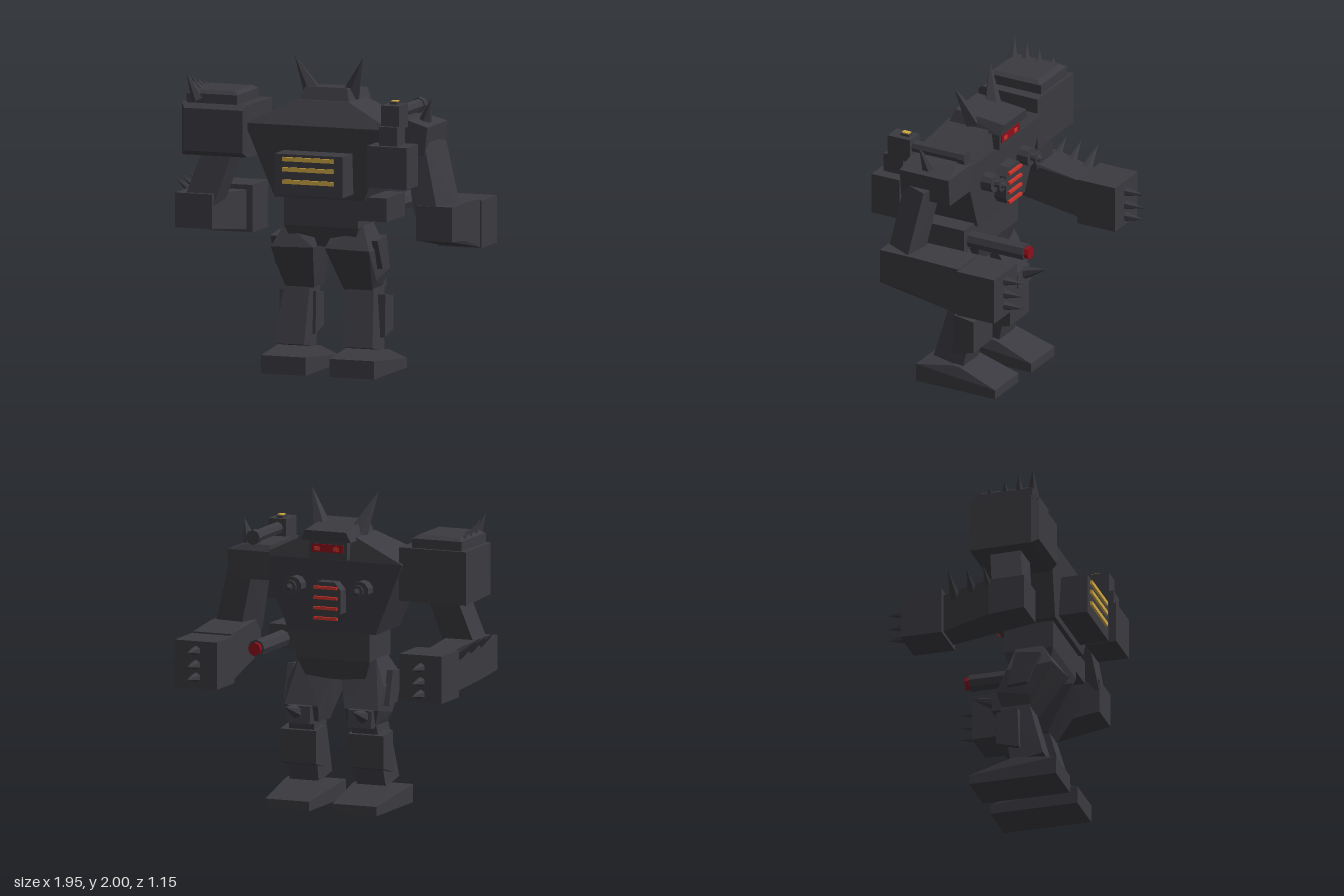
import * as THREE from 'three';
import { ConvexGeometry } from 'three/addons/geometries/ConvexGeometry.js';

const material = (name, color) => Object.assign(new THREE.MeshStandardMaterial({ color }), { name });

export function createModel() {
  const root = new THREE.Group();
  root.name = 'armouredRobot';
  const iron = material('dark iron', 0x3b3a40);
  const gold = material('gold', 0xcfa743);
  const red = material('dark red', 0x8c0f1c);
  const glow = material('bright red', 0xd0342a);
  const V = (x, y, z) => new THREE.Vector3(x, y, z);

  const add = (name, geo, mat = iron, parent = root) => {
    const m = new THREE.Mesh(geo, mat);
    m.name = name;
    parent.add(m);
    return m;
  };
  // Box given by its limits
  const box = (name, x0, x1, y0, y1, z0, z1, mat, parent) => {
    const g = new THREE.BoxGeometry(x1 - x0, y1 - y0, z1 - z0);
    g.translate((x0 + x1) / 2, (y0 + y1) / 2, (z0 + z1) / 2);
    return add(name, g, mat, parent);
  };
  // Faceted solid around a set of corners
  const hull = (name, pts, parent) => add(name, new ConvexGeometry(pts.map(p => V(...p))), iron, parent);
  // Solid through level rectangles [y, x0, x1, z0, z1]
  const levels = (name, rows, parent) => hull(name, rows.flatMap(([y, x0, x1, z0, z1]) =>
    [[x0, y, z0], [x1, y, z0], [x0, y, z1], [x1, y, z1]]), parent);
  // Solid through upright rectangles [z, x0, x1, y0, y1]
  const sections = (name, rows, parent) => hull(name, rows.flatMap(([z, x0, x1, y0, y1]) =>
    [[x0, y0, z], [x1, y0, z], [x0, y1, z], [x1, y1, z]]), parent);
  // Tapered rod between two points; r1 = 0 makes a spike
  const rod = (name, a, b, r0, r1, sides = 6, mat = iron, parent = root) => {
    const from = V(...a), dir = V(...b).sub(from), len = dir.length();
    const g = new THREE.CylinderGeometry(r1, r0, len, sides).toNonIndexed();
    g.computeVertexNormals();
    g.translate(0, len / 2, 0);
    const m = add(name, g, mat, parent);
    m.position.copy(from);
    m.quaternion.setFromUnitVectors(V(0, 1, 0), dir.normalize());
    return m;
  };

  // Torso and waist
  levels('torso', [[1.12, -0.22, 0.38, 0, 0.37], [1.58, -0.41, 0.57, -0.02, 0.4], [1.73, -0.09, 0.25, 0, 0.3]]);
  levels('waist', [[0.81, -0.12, 0.28, 0.06, 0.3], [0.94, -0.17, 0.33, 0.02, 0.34], [1.13, -0.17, 0.33, 0.02, 0.34]]);

  // Head, visor and horns
  box('face', -0.05, 0.21, 1.59, 1.74, -0.06, 0.2);
  hull('headTop', [-0.09, 0.25].flatMap(x => [[x, 1.71, -0.09], [x, 1.71, 0.29]])
    .concat([-0.06, 0.22].flatMap(x => [[x, 1.775, -0.1], [x, 1.81, 0.25]])));
  box('visor', -0.03, 0.19, 1.635, 1.685, -0.068, -0.06, red);
  for (const x of [0.0, 0.13]) box('eye', x, x + 0.04, 1.645, 1.67, -0.073, -0.067, glow);
  for (const s of [-1, 1]) rod('horn', [0.08 + s * 0.12, 1.74, 0.13], [0.08 + s * 0.23, 2, 0.21], 0.065, 0, 5);

  // Chest grille
  const plate = [[-0.02, 1.25], [0.02, 1.2], [0.14, 1.2], [0.18, 1.25], [0.18, 1.4], [0.14, 1.45], [0.02, 1.45], [-0.02, 1.4]];
  hull('grillePlate', plate.flatMap(([x, y]) => [[x, y, -0.09], [x, y, 0.02]]));
  for (const y of [1.22, 1.285, 1.35, 1.415]) {
    box('grilleSlat', 0, 0.16, y - 0.009, y + 0.009, -0.108, -0.088, glow);
  }
  // Chest studs
  for (const x of [-0.15, 0.31]) {
    rod('studBase', [x, 1.41, 0.02], [x, 1.41, -0.09], 0.06, 0.06, 10);
    rod('studStem', [x, 1.41, -0.08], [x, 1.41, -0.14], 0.025, 0.025, 8);
    rod('studDisc', [x, 1.41, -0.125], [x, 1.41, -0.14], 0.045, 0.045, 10);
    rod('studTip', [x, 1.41, -0.14], [x, 1.41, -0.165], 0.025, 0, 8);
  }

  // Back box with gold vents
  box('backBox', -0.15, 0.31, 1.16, 1.42, 0.36, 0.56);
  for (const y of [1.247, 1.325, 1.39]) box('vent', -0.09, 0.25, y - 0.013, y + 0.013, 0.555, 0.575, gold);

  // Shoulder gun
  box('gunBox', 0.47, 0.74, 1.235, 1.5, 0.36, 0.56);
  box('gunPost', 0.54, 0.66, 1.5, 1.62, 0.38, 0.52);
  box('gunBody', 0.54, 0.66, 1.6, 1.75, 0.33, 0.49);
  box('gunCap', 0.575, 0.62, 1.75, 1.765, 0.36, 0.42);
  box('gunSight', 0.58, 0.615, 1.765, 1.772, 0.365, 0.415, gold);
  rod('gunBarrel', [0.6, 1.69, 0.34], [0.6, 1.69, -0.02], 0.04, 0.04, 8);
  rod('gunMuzzle', [0.6, 1.69, 0], [0.6, 1.69, -0.05], 0.048, 0.048, 8);

  // Hip gun
  box('hipGunBox', 0.31, 0.52, 0.99, 1.14, 0.02, 0.34);
  rod('hipGunBarrel', [0.43, 1.05, 0.05], [0.43, 1.05, -0.38], 0.056, 0.056, 8);
  rod('hipGunTip', [0.43, 1.05, -0.38], [0.43, 1.05, -0.41], 0.042, 0.042, 8, red);

  // Left arm
  const leftArm = new THREE.Group();
  leftArm.name = 'leftArm';
  root.add(leftArm);
  levels('leftShoulder', [[1.42, 0.5, 0.77, -0.02, 0.33], [1.6, 0.5, 0.79, -0.02, 0.33], [1.64, 0.5, 0.66, 0, 0.33]], leftArm);
  rod('leftShoulderSpike', [0.7, 1.58, 0.16], [0.77, 1.77, 0.2], 0.055, 0, 6, iron, leftArm);
  hull('leftUpperArm', [
    [0.62, 1.5, 0.3], [0.76, 1.5, 0.31], [0.84, 1.5, 0.13], [0.66, 1.5, 0.1],
    [0.72, 1.04, 0.37], [0.88, 1.04, 0.37], [0.97, 1.04, 0.19], [0.78, 1.04, 0.16]], leftArm);
  sections('leftForearm', [[0.37, 0.73, 0.97, 0.89, 1.11], [0.14, 0.73, 0.97, 0.87, 1.11], [-0.18, 0.69, 0.95, 0.785, 1.09]], leftArm);

  // Right arm
  const rightArm = new THREE.Group();
  rightArm.name = 'rightArm';
  root.add(rightArm);
  sections('rightShoulder', [[0, -0.84, -0.38, 1.35, 1.69], [0.4, -0.83, -0.39, 1.36, 1.69], [0.44, -0.8, -0.41, 1.39, 1.66]], rightArm);
  box('shoulderPlate', -0.8, -0.46, 1.68, 1.75, 0.02, 0.4, iron, rightArm);
  levels('shoulderCap', [[1.75, -0.79, -0.46, 0.03, 0.39], [1.77, -0.77, -0.49, 0.06, 0.37]], rightArm);
  [0.1, 0.2, 0.29, 0.38].forEach((z, i) =>
    rod('shoulderSpike', [-0.73, 1.71, z], [-0.8, 1.79 + i * 0.03, z + 0.02], 0.045, 0, 6, iron, rightArm));
  hull('rightUpperArm', [
    [-0.73, 1.38, 0.3], [-0.53, 1.38, 0.3], [-0.73, 1.38, 0.1], [-0.53, 1.38, 0.1],
    [-0.85, 1.03, 0.35], [-0.65, 1.0, 0.35], [-0.85, 1.03, 0.15], [-0.65, 1.0, 0.15]], rightArm);
  sections('rightForearm', [[0.37, -0.89, -0.64, 0.89, 1.11], [0.14, -0.89, -0.64, 0.87, 1.11], [-0.18, -0.83, -0.62, 0.82, 1.07]], rightArm);
  for (const z of [-0.1, 0.02, 0.13]) {
    rod('forearmSpike', [-0.82, 1.05, z], [-0.98, 1.17, z], 0.04, 0, 6, iron, rightArm);
  }

  // Fists with knuckle spikes
  for (const [arm, x0, x1, y0, x] of [[leftArm, 0.67, 0.96, 0.78, 0.815], [rightArm, -0.87, -0.58, 0.8, -0.725]]) {
    box('fist', x0, x1, y0, y0 + 0.3, -0.445, -0.175, iron, arm);
    for (const y of [0.85, 0.93, 1.02]) rod('knuckleSpike', [x, y, -0.44], [x, y + 0.005, -0.575], 0.033, 0, 6, iron, arm);
  }

  // Legs, mirrored about the body's middle plane x = 0.08
  for (const s of [-1, 1]) {
    const leg = new THREE.Group();
    leg.name = s > 0 ? 'leftLeg' : 'rightLeg';
    root.add(leg);
    const X = d => 0.08 + s * d;
    const pair = (name, quads) => hull(name, quads.map(([d, y, z]) => [X(d), y, z]), leg);
    pair('thigh', [
      [0.26, 0.95, 0.28], [0.26, 0.95, 0.1], [0.06, 0.9, 0.28], [0.06, 0.9, 0.1],
      [0.33, 0.8, 0.36], [0.04, 0.81, 0.38], [0.33, 0.78, 0.06], [0.04, 0.81, 0.06],
      [0.32, 0.6, 0.21], [0.09, 0.57, 0.21], [0.32, 0.64, -0.01], [0.09, 0.64, -0.01],
      [0.29, 0.53, 0.2], [0.1, 0.53, 0.2], [0.29, 0.54, 0.02], [0.1, 0.54, 0.02]]);
    pair('thighPlate', [0.32, 0.36].flatMap(d => [
      [d, 0.86, 0.29], [d, 0.88, 0.13], [d, 0.67, 0.2], [d, 0.66, 0.07]]));
    pair('knee', [0.13, 0.29].flatMap(d => [[d, 0.65, 0.05], [d, 0.64, -0.04], [d, 0.53, -0.05], [d, 0.52, 0.07]]));
    rod('kneeSpike', [X(0.23), 0.6, -0.03], [X(0.23), 0.66, -0.205], 0.045, 0, 6, iron, leg);
    pair('shin', [
      [0.3, 0.54, 0.2], [0.13, 0.54, 0.2], [0.3, 0.54, 0.01], [0.13, 0.54, 0.01],
      [0.33, 0.18, 0.3], [0.13, 0.18, 0.3], [0.33, 0.14, 0.09], [0.13, 0.14, 0.09]]);
    pair('shinGuard', [0.11, 0.355].flatMap(d => [[d, 0.5, 0.14], [d, 0.48, 0], [d, 0.27, 0], [d, 0.23, 0.15]]));
    pair('foot', [0.08, 0.38].flatMap(d => {
      const t = d < 0.2 ? d + 0.02 : d - 0.02;
      return [[d, 0, 0.4], [d, 0, -0.17], [d, 0.06, -0.17], [d, 0.115, 0.4], [t, 0.155, 0.14], [t, 0.15, 0.09]];
    }));
  }
  return root;
}
